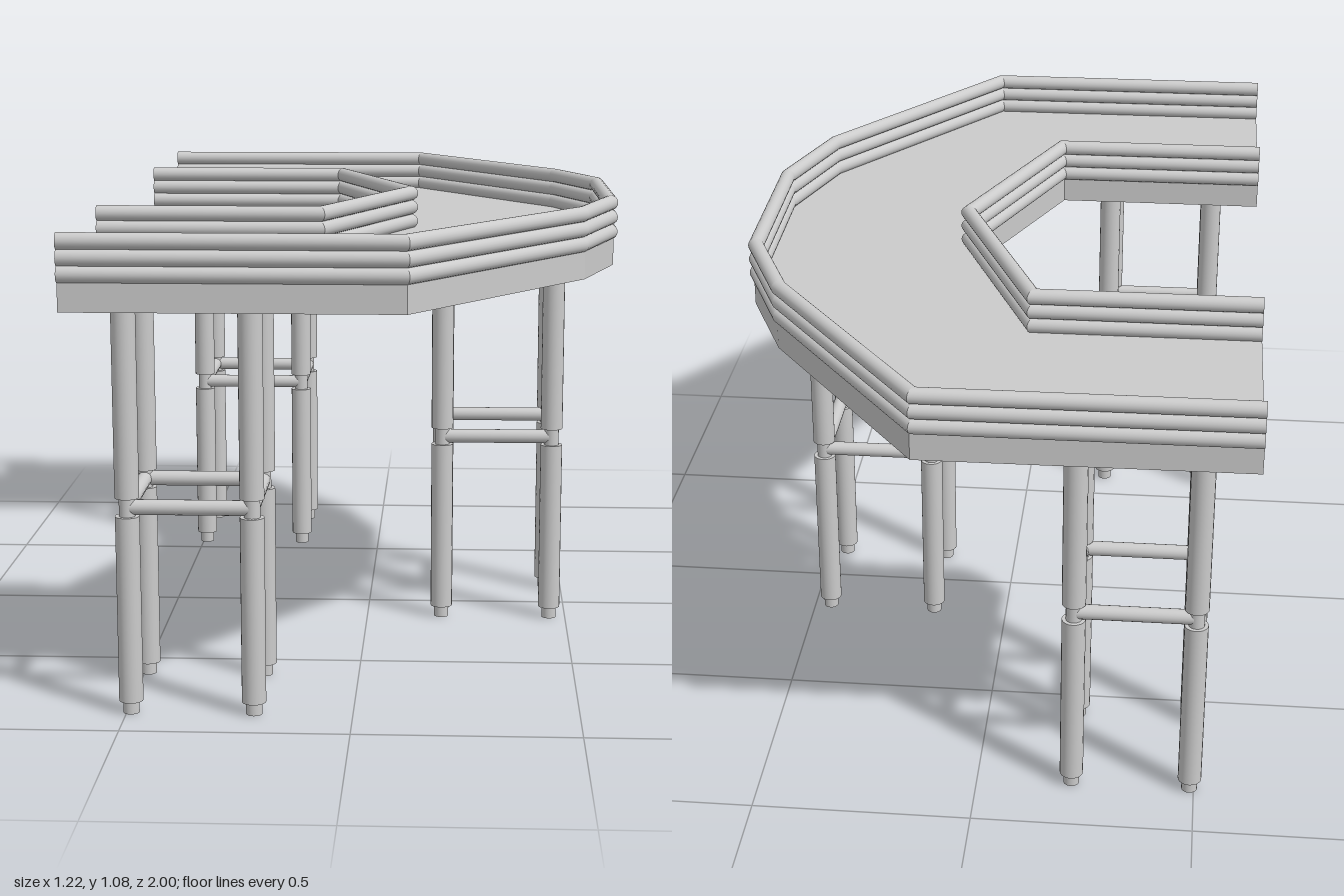
import * as THREE from 'three';

const material = new THREE.MeshStandardMaterial({ color: 0xcccccc });

function addMesh(parent, name, geometry, x = 0, y = 0, z = 0) {
  const mesh = new THREE.Mesh(geometry, material);
  mesh.name = name;
  mesh.position.set(x, y, z);
  parent.add(mesh);
  return mesh;
}

// Round rail along a flat path of [x, z] points, mitred at each corner
function addRail(parent, name, path, y, radius) {
  const pts = path.map(([x, z]) => new THREE.Vector2(x, z));
  const dirs = pts.slice(1).map((p, i) => p.clone().sub(pts[i]).normalize());
  const halfTurnTan = (a, b) => (a && b ? Math.tan(Math.atan2(a.cross(b), a.dot(b)) / 2) : 0);
  dirs.forEach((d, i) => {
    const a = pts[i], b = pts[i + 1];
    const geometry = new THREE.CylinderGeometry(radius, radius, a.distanceTo(b), 20);
    const startTan = halfTurnTan(dirs[i - 1], d), endTan = halfTurnTan(d, dirs[i + 1]);
    const pos = geometry.attributes.position;
    for (let v = 0; v < pos.count; v++) {
      const x = pos.getX(v), along = pos.getY(v);
      pos.setY(v, along + (along > 0 ? -x * endTan : x * startTan));
    }
    geometry.applyMatrix4(new THREE.Matrix4().makeBasis(
      new THREE.Vector3(-d.y, 0, d.x),
      new THREE.Vector3(d.x, 0, d.y),
      new THREE.Vector3(0, 1, 0)));
    addMesh(parent, name, geometry, (a.x + b.x) / 2, y, (a.y + b.y) / 2);
  });
}

// Four legs in a square, braced by a ring of crossbars
function makeStand(cx, cz) {
  const stand = new THREE.Group();
  stand.name = 'legStand';
  stand.position.set(cx, 0, cz);
  const half = 0.136, barY = 0.467;
  const sections = [
    ['foot', 0.018, 0, 0.03],
    ['lowerLeg', 0.027, 0.028, 0.447],
    ['legNeck', 0.018, 0.447, 0.488],
    ['upperLeg', 0.027, 0.488, 0.912],
  ];
  for (const sx of [-1, 1]) {
    for (const sz of [-1, 1]) {
      for (const [name, r, y0, y1] of sections) {
        addMesh(stand, name, new THREE.CylinderGeometry(r, r, y1 - y0, 20), sx * half, (y0 + y1) / 2, sz * half);
      }
    }
    const bar = new THREE.CylinderGeometry(0.017, 0.017, 2 * half, 20);
    addMesh(stand, 'crossbar', bar, sx * half, barY, 0).rotation.x = Math.PI / 2;
    addMesh(stand, 'crossbar', bar, 0, barY, sx * half).rotation.z = Math.PI / 2;
  }
  return stand;
}

export function createModel() {
  const model = new THREE.Group();
  model.name = 'curvedDeck';

  // Deck slab, outlined as [x, z]
  const outline = [
    [-0.61, -0.98], [0.12, -0.985], [0.49, -0.485], [0.59, -0.25], [0.597, 0.2], [0.515, 0.45],
    [0.12, 0.985], [-0.61, 0.985], [-0.61, 0.473], [-0.1, 0.473], [0.105, 0], [-0.1, -0.477], [-0.61, -0.477],
  ];
  const shape = new THREE.Shape(outline.map(([x, z]) => new THREE.Vector2(x, z)));
  const slab = new THREE.ExtrudeGeometry(shape, { depth: 0.065, bevelEnabled: false });
  slab.rotateX(Math.PI / 2);
  addMesh(model, 'deck', slab, 0, 0.975, 0);

  // Three stacked rails along the outer and inner edges
  const outerPath = [
    [-0.61, -0.981], [0.112, -0.983], [0.483, -0.482], [0.582, -0.247],
    [0.588, 0.2], [0.506, 0.45], [0.116, 0.982], [-0.61, 0.982],
  ];
  const innerPath = [[-0.61, 0.47], [-0.094, 0.47], [0.102, 0], [-0.094, -0.477], [-0.61, -0.477]];
  for (const y of [0.99, 1.025, 1.06]) {
    addRail(model, 'outerRail', outerPath, y, 0.018);
    addRail(model, 'innerRail', innerPath, y, 0.018);
  }

  // Leg stands under both ends and the middle of the curve
  for (const [x, z] of [[-0.354, 0.742], [0.323, -0.01], [-0.354, -0.708]]) model.add(makeStand(x, z));

  return model;
}
